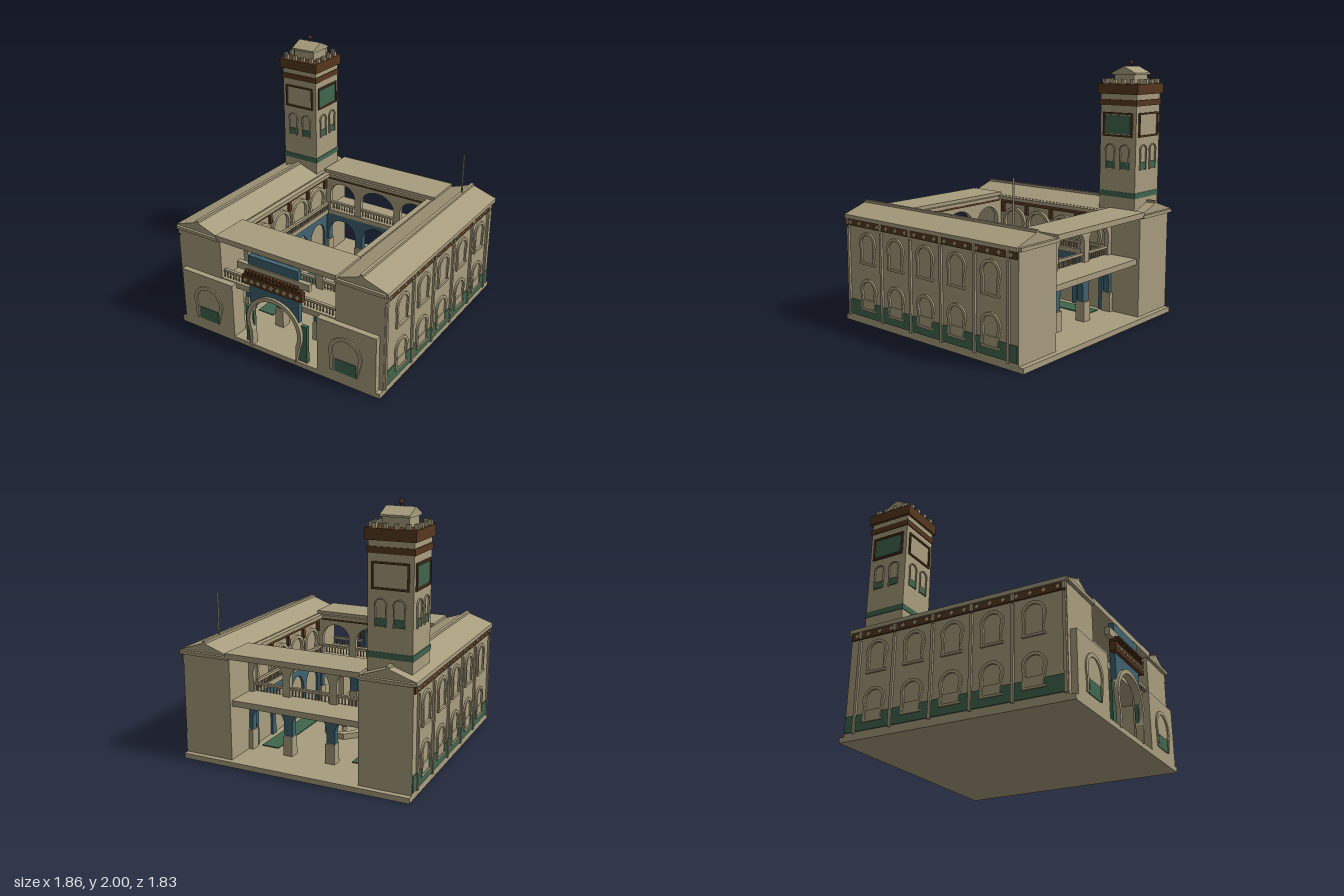
import * as THREE from 'three';

const mat = (name, color) => Object.assign(new THREE.MeshStandardMaterial({ color }), { name });

export function createModel() {
  const stone = mat('sandstone', 0xa89d7e), green = mat('greenTile', 0x40664f);
  const blue = mat('bluePlaster', 0x3f6270), brown = mat('darkWood', 0x57381f);
  const model = new THREE.Group();
  model.name = 'courtyardBuilding';

  const add = (parent, name, geo, m, x = 0, y = 0, z = 0) => {
    const mesh = new THREE.Mesh(geo, m);
    mesh.name = name;
    mesh.position.set(x, y, z);
    parent.add(mesh);
    return mesh;
  };
  // Box given by its limits on each axis
  const box = (parent, name, m, x0, x1, y0, y1, z0, z1) =>
    add(parent, name, new THREE.BoxGeometry(x1 - x0, y1 - y0, z1 - z0), m, (x0 + x1) / 2, (y0 + y1) / 2, (z0 + z1) / 2);
  const group = (parent, name, x = 0, y = 0, z = 0, ry = 0) => {
    const g = new THREE.Group();
    g.name = name;
    g.position.set(x, y, z);
    g.rotation.y = ry;
    parent.add(g);
    return g;
  };
  const extrude = (shape, depth) => new THREE.ExtrudeGeometry(shape, { depth, bevelEnabled: false, curveSegments: 20 });

  // Horseshoe frame: ring of outer radius R and width t about height cy, legs down to y0
  const horseshoe = (R, t, cy, y0, depth) => {
    const a = 0.42, c = Math.cos(a), r = R - t, s = new THREE.Shape();
    s.moveTo(R * c, y0);
    s.absarc(0, cy, R, -a, Math.PI + a, false);
    s.lineTo(-R * c, y0);
    s.lineTo(-r * c, y0);
    s.absarc(0, cy, r, Math.PI + a, -a, true);
    s.lineTo(r * c, y0);
    return extrude(s, depth);
  };
  // Wall with arched openings [centre, half width, spring height, rise]
  const arcade = (w, y0, y1, openings, depth) => {
    const s = new THREE.Shape();
    s.moveTo(-w, y0);
    for (const [cx, hw, spring, rise] of openings) {
      s.lineTo(cx - hw, y0);
      s.lineTo(cx - hw, spring);
      s.absellipse(cx, spring, hw, rise, Math.PI, 0, true);
      s.lineTo(cx + hw, y0);
    }
    s.lineTo(w, y0);
    s.lineTo(w, y1);
    s.lineTo(-w, y1);
    return extrude(s, depth);
  };
  const railing = (parent, x0, x1, z) => {
    const g = group(parent, 'railing');
    box(g, 'handrail', stone, x0, x1, 0.55, 0.57, z - 0.012, z + 0.012);
    const n = Math.round((x1 - x0) / 0.027);
    for (let i = 0; i <= n; i++) {
      const x = x0 + (x1 - x0) * i / n;
      box(g, 'baluster', stone, x - 0.004, x + 0.004, 0.5, 0.55, z - 0.004, z + 0.004);
    }
  };
  const diamonds = (parent, x0, x1, n, y, z, r) => {
    for (let i = 0; i < n; i++) {
      const d = add(parent, 'diamond', new THREE.BoxGeometry(r, r, 0.01), stone, x0 + (x1 - x0) * (i + 0.5) / n, y, z);
      d.rotation.z = Math.PI / 4;
    }
  };

  // Ground slab, courtyard paving strips
  box(model, 'baseSlab', stone, -0.905, 0.905, 0, 0.04, -0.915, 0.89);
  for (const s of [-1, 1]) add(model, 'greenPaving', new THREE.BoxGeometry(0.14, 0.008, 1.04), green, s * 0.38, 0.043, -0.02);

  // Two long wings with gabled roofs
  for (const s of [-1, 1]) {
    const wing = group(model, s > 0 ? 'leftWing' : 'rightWing');
    add(wing, 'wingWalls', new THREE.BoxGeometry(0.395, 0.78, 1.72), stone, s * 0.7075, 0.43, -0.015);
    const gable = new THREE.Shape([[-0.21, 0.81], [0.2, 0.81], [0.2, 0.84], [0, 0.91], [-0.21, 0.84]]
      .map(([x, y]) => new THREE.Vector2(x * -s, y)));
    add(wing, 'gabledRoof', extrude(gable, 1.73), stone, s * 0.72, 0, -0.88);
    add(wing, 'ridgeCap', new THREE.BoxGeometry(0.025, 0.022, 1.73), stone, s * 0.72, 0.913, -0.015);
    for (const z of [-0.89, 0.855]) add(wing, 'endEave', new THREE.BoxGeometry(0.4, 0.025, 0.03), stone, s * 0.715, 0.825, z);

    // Outer facade, drawn facing +z then turned
    const f = group(wing, 'outerFacade', s * 0.905, 0, 0, s * Math.PI / 2);
    const u = (z) => -s * z;
    const band = (name, m, y0, y1, d) => add(f, name, new THREE.BoxGeometry(1.71, y1 - y0, d), m, u(-0.015), (y0 + y1) / 2, d / 2);
    band('greenWainscot', green, 0.06, 0.18, 0.008);
    band('frieze', brown, 0.757, 0.81, 0.012);
    diamonds(f, u(0.84), u(-0.87), 17, 0.783, 0.012, 0.024);
    for (const z of [0.83, 0.455, 0.14, -0.17, -0.49, -0.79]) {
      box(f, 'pilaster', stone, u(z) - 0.011, u(z) + 0.011, 0.05, 0.74, 0, 0.016);
      box(f, 'bracket', stone, u(z) - 0.012, u(z) + 0.012, 0.76, 0.81, 0, 0.02);
    }
    for (const z of [0.61, 0.3, -0.01, -0.32, -0.635]) {
      for (const [cy, y0] of [[0.635, 0.48], [0.275, 0.12]]) {
        add(f, 'windowFrame', horseshoe(0.09, 0.022, cy, y0, 0.014), stone, u(z));
        box(f, 'windowSill', stone, u(z) - 0.085, u(z) + 0.085, y0 - 0.005, y0 + 0.012, 0, 0.016);
        if (y0 < 0.2) box(f, 'windowPanel', stone, u(z) - 0.065, u(z) + 0.065, y0, 0.2, 0, 0.0095);
      }
    }

    // Courtyard face of the wing
    const c = group(wing, 'courtyardFace', s * 0.51, 0, -0.02, -s * Math.PI / 2);
    const centres = [-0.39, -0.13, 0.13, 0.39];
    add(c, 'lowerBlindArcade', arcade(0.53, 0.04, 0.46, centres.map((x) => [x, 0.105, 0.28, 0.12]), 0.02), blue);
    box(c, 'balconyEdge', stone, -0.53, 0.53, 0.46, 0.5, 0, 0.035);
    for (const x of centres) add(c, 'upperArch', horseshoe(0.12, 0.025, 0.63, 0.5, 0.025), stone, x);
    box(c, 'courtFrieze', brown, -0.53, 0.53, 0.78, 0.81, 0, 0.02);
    box(c, 'courtCornice', stone, -0.55, 0.55, 0.81, 0.84, 0, 0.045);
    for (let i = 0; i < 5; i++) box(c, 'corbel', brown, i * 0.26 - 0.535, i * 0.26 - 0.505, 0.7, 0.78, 0, 0.02);
    railing(c, -0.53, 0.53, 0.03);

    // Front block with blind horseshoe arch
    box(wing, 'frontBlock', stone, Math.min(s * 0.38, s * 0.87), Math.max(s * 0.38, s * 0.87), 0.03, 0.488, 0.76, 0.89);
    add(wing, 'blindArch', horseshoe(0.138, 0.028, 0.262, 0.1, 0.012), stone, s * 0.622, 0, 0.888);
    add(wing, 'greenPanel', new THREE.BoxGeometry(0.175, 0.105, 0.008), green, s * 0.622, 0.15, 0.892);
  }

  // Front and back galleries: floor, roof, blue lower arcade, stone upper arcade
  for (const [name, inner, outer, roofIn, roofOut] of [['frontGallery', 0.53, 0.84, 0.55, 0.865], ['backGallery', -0.57, -0.85, -0.58, -0.9]]) {
    const g = group(model, name);
    const d = Math.sign(inner);
    const span = (n, m, x, y0, y1, a, b) => box(g, n, m, -x, x, y0, y1, Math.min(a, b), Math.max(a, b));
    span('galleryFloor', stone, 0.51, 0.45, 0.495, inner, outer);
    span('galleryRoof', stone, 0.53, 0.82, 0.862, roofIn, roofOut);
    span('courtCornice', stone, 0.51, 0.81, 0.835, inner - d * 0.01, inner + d * 0.06);
    span('courtFrieze', brown, 0.47, 0.795, 0.81, inner - d * 0.012, inner + d * 0.045);
    const z = Math.min(inner, inner + d * 0.05);
    add(g, 'lowerArcade', arcade(0.51, 0.18, 0.455,
      [[-0.345, 0.135, 0.28, 0.125], [0, 0.14, 0.28, 0.14], [0.345, 0.135, 0.28, 0.125]], 0.05), blue, 0, 0, z);
    add(g, 'upperArcade', arcade(0.51, 0.49, 0.815,
      [[-0.345, 0.125, 0.64, 0.115], [0, 0.16, 0.63, 0.13], [0.345, 0.125, 0.64, 0.115]], 0.04), stone, 0, 0, z + 0.005);
    for (const x of [-0.495, -0.175, 0.175, 0.495])
      add(g, 'pedestal', new THREE.BoxGeometry(Math.abs(x) > 0.4 ? 0.04 : 0.075, 0.155, 0.08), stone, x, 0.115, z + 0.025);
    railing(g, -0.47, 0.47, inner + d * 0.025);
  }
  for (const [a, b] of [[-0.5, -0.23], [0.23, 0.5]]) railing(model, a, b, 0.82);

  // Entrance portal
  const portal = group(model, 'portal');
  const panel = new THREE.Shape();
  panel.moveTo(0.22, 0.8);
  panel.lineTo(-0.22, 0.8);
  panel.lineTo(-0.22, 0.343);
  panel.absarc(0, 0.26, 0.235, Math.PI - 0.36, 0.36, true);
  panel.lineTo(0.22, 0.8);
  add(portal, 'portalPanel', extrude(panel, 0.04), blue, 0, 0, 0.84);
  add(portal, 'portalArch', horseshoe(0.247, 0.032, 0.26, 0.03, 0.055), stone, 0, 0, 0.845);
  for (const s of [-1, 1]) add(portal, 'greenPilaster', new THREE.BoxGeometry(0.075, 0.31, 0.03), green, s * 0.24, 0.195, 0.855);
  box(portal, 'canopyBeam', stone, -0.32, 0.32, 0.67, 0.727, 0.85, 0.888);
  box(portal, 'canopyFrieze', brown, -0.265, 0.265, 0.57, 0.64, 0.86, 0.905);
  diamonds(portal, -0.26, 0.26, 9, 0.605, 0.906, 0.026);
  for (let row = 0; row < 2; row++) {
    const w = 0.25 - row * 0.02;
    box(portal, 'canopyTier', brown, -w, w, 0.64 + row * 0.025, 0.665 + row * 0.025, 0.86, 0.9);
    for (let i = 0; i < 15; i++) {
      const tile = add(portal, 'roofTile', new THREE.CylinderGeometry(0.012, 0.012, 0.05, 8), brown, -w + 2 * w * (i + 0.5) / 15, 0.655 + row * 0.025, 0.89);
      tile.rotation.x = Math.PI / 2;
    }
  }

  // Octagonal fountain
  const fountain = group(model, 'fountain', 0, 0.04, -0.02);
  const basin = new THREE.LatheGeometry([[0.157, 0], [0.157, 0.045], [0.135, 0.052], [0.12, 0.052], [0.12, 0.02], [0, 0.02]]
    .map(([x, y]) => new THREE.Vector2(x, y)), 8, Math.PI / 8).toNonIndexed();
  basin.computeVertexNormals();
  add(fountain, 'basin', basin, stone);
  add(fountain, 'stem', new THREE.CylinderGeometry(0.015, 0.02, 0.06, 12), stone, 0, 0.045);
  add(fountain, 'bowl', new THREE.SphereGeometry(0.037, 20, 12).scale(1, 0.5, 1), stone, 0, 0.07);
  add(fountain, 'spout', new THREE.SphereGeometry(0.012, 12, 8), stone, 0, 0.09);

  // Tower
  const tower = group(model, 'tower', -0.703, 0, -0.637);
  const slab = (name, m, h, y0, y1) => box(tower, name, m, -h, h, y0, y1, -h, h);
  slab('shaft', stone, 0.163, 0.6, 1.76);
  slab('greenBand', green, 0.168, 0.95, 0.992);
  slab('brownBand', brown, 0.17, 1.655, 1.7);
  slab('cornice', brown, 0.181, 1.742, 1.82);
  for (let i = 0; i < 4; i++) {
    const f = group(tower, 'towerFace', 0, 0, 0, i * Math.PI / 2);
    const z = 0.163;
    for (const x of [-0.066, 0.066]) {
      add(f, 'blindArch', horseshoe(0.046, 0.007, 1.315, 1.165, 0.012), stone, x, 0, z);
      box(f, 'greenSill', green, x - 0.04, x + 0.04, 1.17, 1.225, z, z + 0.008);
    }
    const frame = new THREE.Shape([[-0.133, 1.418], [0.133, 1.418], [0.133, 1.602], [-0.133, 1.602]].map((p) => new THREE.Vector2(...p)));
    frame.holes.push(new THREE.Path([[-0.12, 1.431], [-0.12, 1.589], [0.12, 1.589], [0.12, 1.431]].map((p) => new THREE.Vector2(...p))));
    add(f, 'panelFrame', extrude(frame, 0.012), brown, 0, 0, z);
    if (i % 2) box(f, 'greenPanel', green, -0.112, 0.112, 1.438, 1.582, z, z + 0.006);
    for (const x of [-0.118, -0.04, 0.04, 0.118]) box(f, 'merlon', stone, x - 0.014, x + 0.014, 1.82, 1.855, 0.146, 0.174);
  }
  // Lantern, its gabled roof and finial
  box(tower, 'lantern', stone, -0.095, 0.095, 1.82, 1.895, -0.09, 0.09);
  const cap = extrude(new THREE.Shape([[-0.108, 1.885], [0.108, 1.885], [0.108, 1.9], [0, 1.95], [-0.108, 1.9]]
    .map((p) => new THREE.Vector2(...p))), 0.21).translate(0, 0, -0.105).rotateY(Math.PI / 2);
  add(tower, 'lanternRoof', cap, stone);
  add(tower, 'finialRod', new THREE.CylinderGeometry(0.004, 0.006, 0.055, 8), brown, 0, 1.97);
  add(tower, 'finialBall', new THREE.SphereGeometry(0.017, 16, 10), brown, 0, 1.978);
  add(tower, 'finialTip', new THREE.ConeGeometry(0.006, 0.012, 8), brown, 0, 1.995);

  // Flagpole on the left wing
  add(model, 'flagpole', new THREE.CylinderGeometry(0.007, 0.007, 0.36, 10), stone, 0.722, 1.065, -0.672);
  return model;
}
